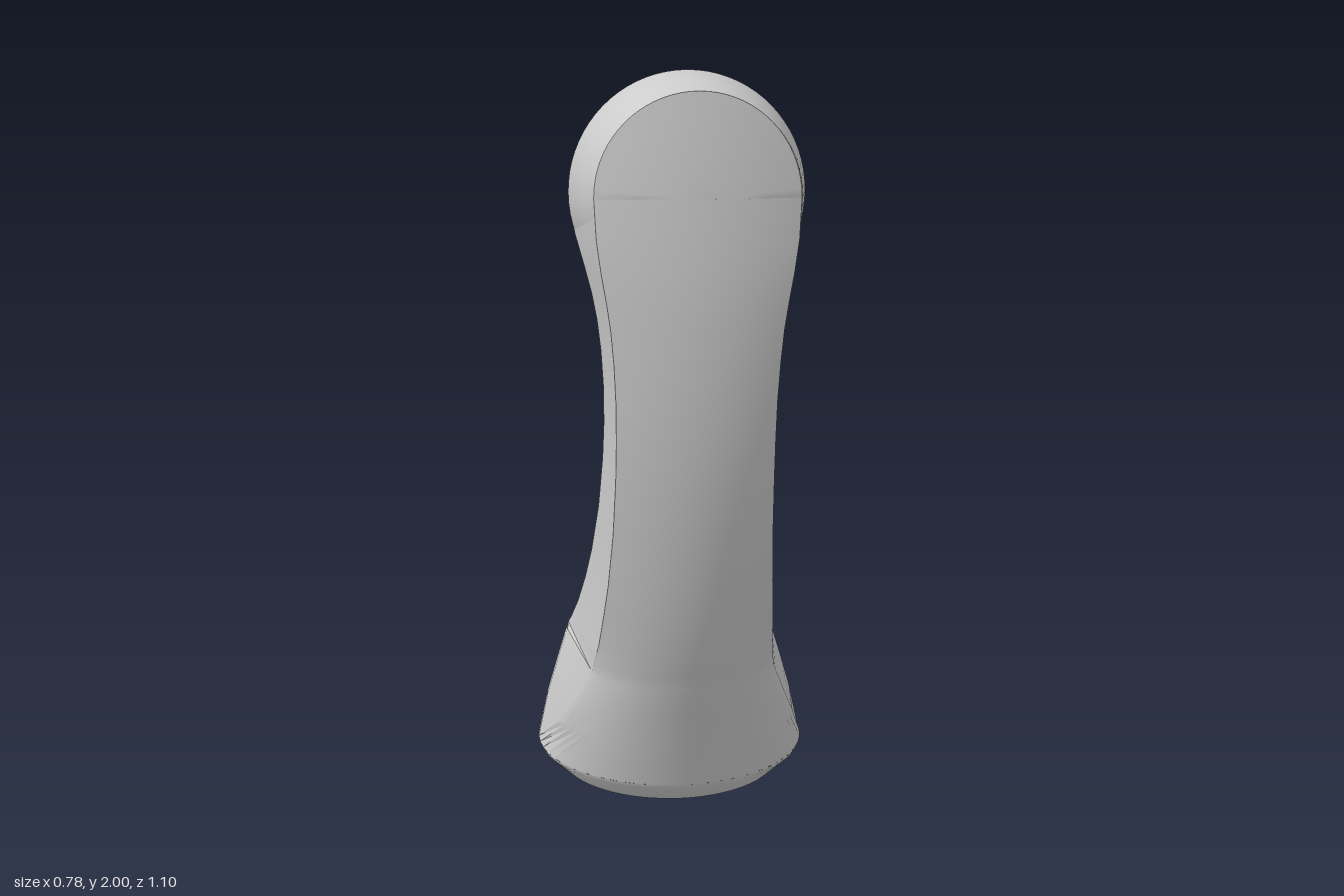
import * as THREE from 'three';
import { toCreasedNormals } from 'three/addons/utils/BufferGeometryUtils.js';

const BASE_Z = -0.16; // axis of the round base
const HEAD_Y = 1.7;   // axis of the round head

const material = new THREE.MeshStandardMaterial({ color: 0xcccccc });

function addMesh(parent, name, geometry, crease = 0.55) {
  const mesh = new THREE.Mesh(toCreasedNormals(geometry, crease), material);
  mesh.name = name;
  parent.add(mesh);
  return mesh;
}

function lathe(points, segments = 72, start = 0, length = Math.PI * 2) {
  return new THREE.LatheGeometry(points.map(p => new THREE.Vector2(...p)), segments, start, length);
}

// Circular arc over the chord (-w..w, z), bulging by b towards +z
function arc(w, z, b, n) {
  if (Math.abs(b) < 1e-4) b = 1e-4;
  const R = (w * w + b * b) / (2 * b), a = 2 * Math.atan(b / w), out = [];
  for (let i = 0; i <= n; i++) {
    const t = a * (1 - (2 * i) / n);
    out.push([R * Math.sin(t), z + R * Math.cos(t) - R + b]);
  }
  return out;
}

// Stacked horizontal sections: y, front z, front edge z, front half width,
// back half width, back edge z, back bulge
const sections = [
  [0.07, 0.23, -0.16, 0.39, 0.39, -0.16, 0.39],
  [0.2, 0.275, 0.05, 0.335, 0.362, -0.16, 0.362],
  [0.3, 0.313, 0.13, 0.293, 0.333, -0.16, 0.333],
  [0.385, 0.345, 0.19, 0.258, 0.307, -0.16, 0.307],
  [0.4, 0.35, 0.2, 0.252, 0.3, -0.16, 0.295],
  [0.403, 0.351, 0.202, 0.251, 0.295, -0.22, 0.01],
  [0.43, 0.362, 0.22, 0.246, 0.288, -0.185, 0],
  [0.5, 0.388, 0.27, 0.235, 0.27, -0.12, 0],
  [0.6, 0.42, 0.33, 0.225, 0.252, -0.035, 0],
  [0.7, 0.447, 0.375, 0.215, 0.238, 0.04, 0],
  [0.85, 0.483, 0.427, 0.205, 0.223, 0.132, 0],
  [1.0, 0.51, 0.465, 0.2, 0.215, 0.2, 0],
  [1.1, 0.524, 0.483, 0.199, 0.213, 0.233, 0],
  [1.2, 0.535, 0.496, 0.2, 0.215, 0.261, 0],
  [1.3, 0.543, 0.506, 0.205, 0.222, 0.284, 0],
  [1.38, 0.547, 0.511, 0.212, 0.232, 0.3, 0],
  [1.45, 0.55, 0.514, 0.222, 0.245, 0.3, -0.05],
  [1.52, 0.55, 0.515, 0.234, 0.263, 0.295, -0.09],
  [1.6, 0.549, 0.514, 0.245, 0.285, 0.285, -0.11],
  [1.7, 0.545, 0.51, 0.25, 0.298, 0.28, -0.11],
];

function handleGeometry() {
  const n = 28, positions = [], index = [];
  for (const [y, zf, ze, wf, wb, zb, bb] of sections) {
    const front = arc(wf, ze, zf - ze, n);
    const back = arc(wb, zb, -bb, n).reverse();
    for (const [x, z] of [...front, ...back]) positions.push(x, y, z);
  }
  const m = 2 * (n + 1);
  for (let j = 0; j < sections.length - 1; j++) {
    for (let i = 0; i < m; i++) {
      const a = j * m + i, b = j * m + ((i + 1) % m);
      index.push(a, a + m, b, b, a + m, b + m);
    }
  }
  const g = new THREE.BufferGeometry();
  g.setAttribute('position', new THREE.Float32BufferAttribute(positions, 3));
  g.setIndex(index);
  return g;
}

// Round head with a stepped socket at the back and a gently curved front face
function headGeometry() {
  const g = lathe([
    [0, 0.336], [0.125, 0.336], [0.125, 0.326], [0.14, 0.326], [0.14, 0.33],
    [0.205, 0.33], [0.205, 0.305], [0.225, 0.305], [0.225, 0.212], [0.243, 0.21],
    [0.298, 0.275], [0.3, 0.285], [0.277, 0.39], [0.254, 0.498],
    [0.25, 0.6], [0.2, 0.6], [0.15, 0.6], [0.1, 0.6], [0.05, 0.6], [0, 0.6],
  ]);
  g.rotateX(Math.PI / 2).translate(0, HEAD_Y, 0);
  const p = g.attributes.position;
  for (let i = 0; i < p.count; i++) {
    if (p.getZ(i) < 0.55) continue;
    const x = p.getX(i), y = p.getY(i);
    // the lower half sinks just below the handle's front face
    const sink = y < HEAD_Y - 0.001 ? 0.006 : 0;
    p.setZ(i, 0.55 - 0.12 * (y - 1.5) ** 2 - 0.035 * (x / 0.25) ** 2 - sink);
  }
  return g;
}

export function createModel() {
  const group = new THREE.Group();
  group.name = 'handle';

  addMesh(group, 'arm', handleGeometry());
  addMesh(group, 'head', headGeometry());

  // Chamfered foot with a stepped socket underneath
  addMesh(group, 'foot', lathe([
    [0, 0.2], [0.2, 0.2], [0.2, 0.19], [0.22, 0.19], [0.22, 0.2],
    [0.275, 0.2], [0.275, 0.15], [0.312, 0.15], [0.312, 0.004], [0.326, 0],
    [0.385, 0.058], [0.39, 0.07],
  ])).position.z = BASE_Z;

  // Raised locking tab on the wall of the foot socket
  addMesh(group, 'footTab', lathe(
    [[0.296, 0.15], [0.296, 0.02], [0.314, 0.02]], 16, -0.9, 0.9)).position.z = BASE_Z;
  for (const a of [-0.9, 0]) {
    const end = addMesh(group, 'footTabEnd', new THREE.BoxGeometry(0.006, 0.13, 0.018));
    end.position.set(0.305 * Math.sin(a), 0.085, BASE_Z + 0.305 * Math.cos(a));
    end.rotation.y = a;
  }

  // Locking tab and small screw on the right side of the head socket
  const tab = addMesh(group, 'headTab', new THREE.BoxGeometry(0.03, 0.12, 0.06));
  tab.position.set(-0.205, HEAD_Y - 0.02, 0.285);
  const screw = addMesh(group, 'headScrew',
    new THREE.CylinderGeometry(0.014, 0.014, 0.02, 20).rotateX(Math.PI / 2));
  screw.position.set(-0.14, HEAD_Y - 0.11, 0.325);

  return group;
}
